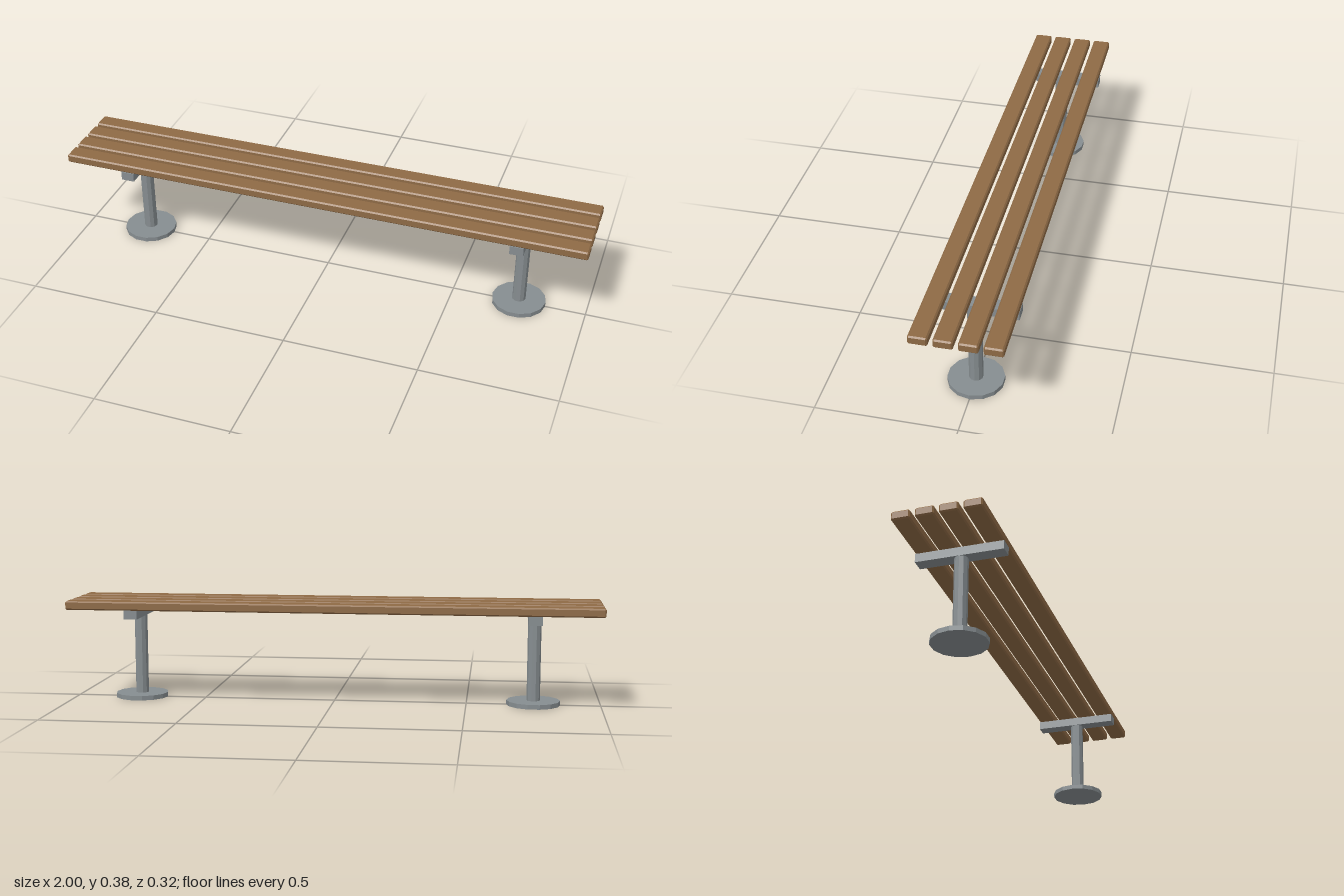
import * as THREE from 'three';
import { ConvexGeometry } from 'three/addons/geometries/ConvexGeometry.js';

// Box with a single flat chamfer along every edge
function chamferBox(w, h, d, c) {
  const points = [];
  for (const sx of [-1, 1]) for (const sy of [-1, 1]) for (const sz of [-1, 1]) {
    const x = w / 2, y = h / 2, z = d / 2;
    points.push(
      new THREE.Vector3(sx * x, sy * (y - c), sz * (z - c)),
      new THREE.Vector3(sx * (x - c), sy * y, sz * (z - c)),
      new THREE.Vector3(sx * (x - c), sy * (y - c), sz * z)
    );
  }
  return new ConvexGeometry(points);
}

// Faceted upright cylinder with a corner pointing along x
function prism(radius, height, sides) {
  const g = new THREE.CylinderGeometry(radius, radius, height, sides, 1, false, Math.PI / 2).toNonIndexed();
  g.computeVertexNormals();
  return g;
}

export function createModel() {
  const wood = new THREE.MeshStandardMaterial({ color: 0x8e6a45 });
  wood.name = 'wood';
  const steel = new THREE.MeshStandardMaterial({ color: 0x868d90 });
  steel.name = 'steel';

  const bench = new THREE.Group();
  bench.name = 'bench';

  function add(parent, name, geometry, material, x, y, z) {
    const mesh = new THREE.Mesh(geometry, material);
    mesh.name = name;
    mesh.position.set(x, y, z);
    parent.add(mesh);
  }

  // Four seat slats
  const slat = chamferBox(2, 0.033, 0.066, 0.005);
  for (let i = 0; i < 4; i++) {
    add(bench, 'seatSlat' + (i + 1), slat, wood, 0, 0.3675, (i - 1.5) * 0.0833);
  }

  // Two pedestals: round foot, post and crossbar
  const foot = prism(0.1, 0.017, 14);
  const post = prism(0.025, 0.302, 10);
  const bar = new THREE.BoxGeometry(0.05, 0.0325, 0.317);
  for (const side of [-1, 1]) {
    const pedestal = new THREE.Group();
    pedestal.name = side > 0 ? 'leftPedestal' : 'rightPedestal';
    pedestal.position.x = side * 0.75;
    add(pedestal, 'footPlate', foot, steel, 0, 0.0085, 0);
    add(pedestal, 'post', post, steel, 0, 0.168, 0);
    add(pedestal, 'crossbar', bar, steel, 0, 0.335, 0);
    bench.add(pedestal);
  }

  return bench;
}
